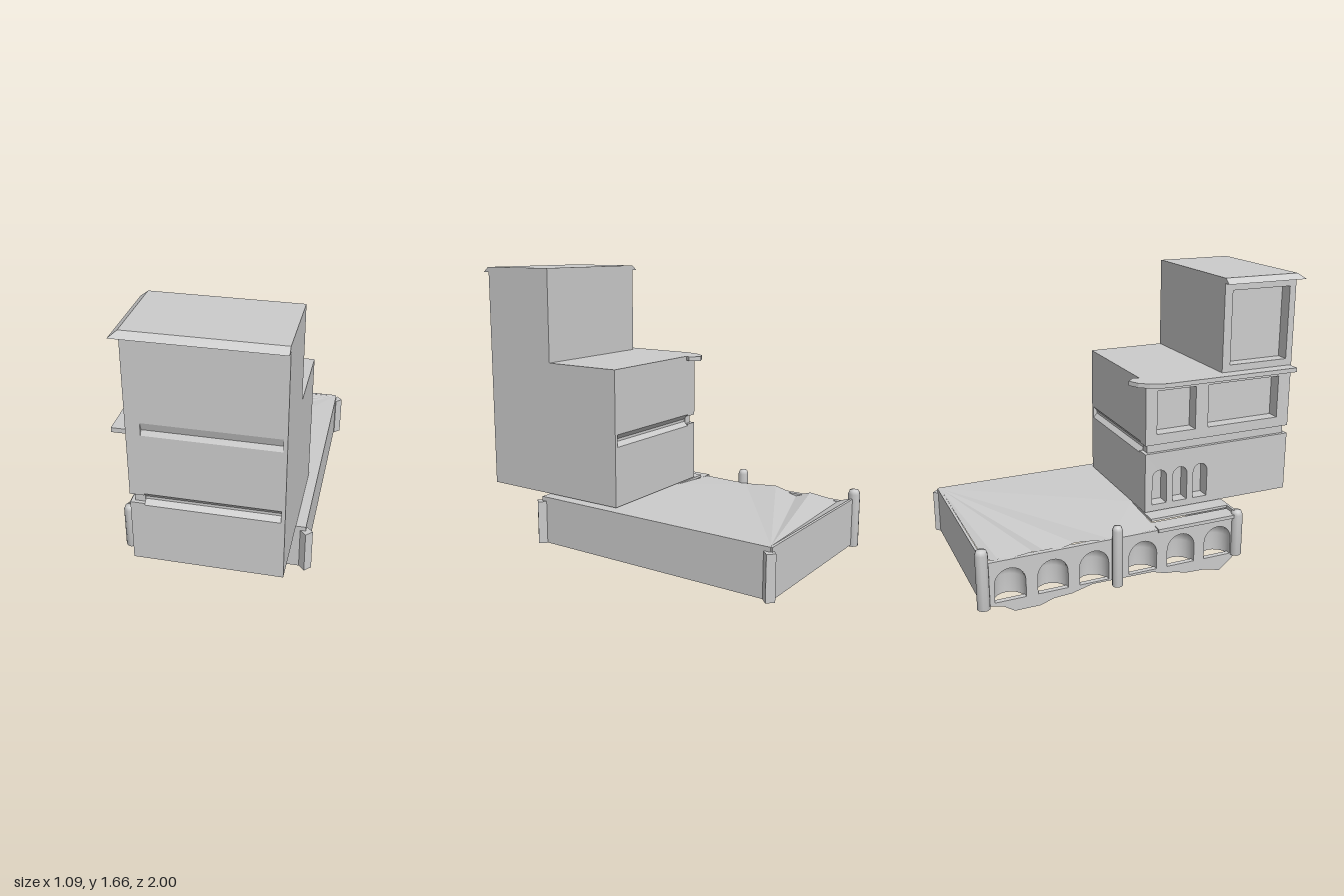
import * as THREE from 'three';

const mat = new THREE.MeshStandardMaterial({ color: 0xcccccc, side: THREE.DoubleSide });

export function createModel() {
  const model = new THREE.Group();
  const add = (name, geo, x = 0, y = 0, z = 0) => {
    const m = new THREE.Mesh(geo, mat);
    m.name = name;
    m.position.set(x, y, z);
    model.add(m);
    return m;
  };
  // box given by its minimum and maximum on each axis
  const box = (name, x0, x1, y0, y1, z0, z1) =>
    add(name, new THREE.BoxGeometry(x1 - x0, y1 - y0, z1 - z0), (x0 + x1) / 2, (y0 + y1) / 2, (z0 + z1) / 2);
  const poly = pts => new THREE.Shape(pts.map(p => new THREE.Vector2(...p)));
  // side outline in (z, y), extruded across x
  const across = (name, shape, x0, x1) => {
    const g = new THREE.ExtrudeGeometry(shape, { depth: x1 - x0, bevelEnabled: false, curveSegments: 8 });
    return add(name, g.rotateY(-Math.PI / 2), x1);
  };
  const rectHole = (z0, z1, y0, y1) => new THREE.Path(
    [[z0, y0], [z0, y1], [z1, y1], [z1, y0]].map(p => new THREE.Vector2(...p)));
  const archHole = (z, r, y0, y1) => {
    const p = new THREE.Path();
    p.moveTo(z - r, y0);
    p.lineTo(z + r, y0);
    p.lineTo(z + r, y1);
    p.absarc(z, y1, r, 0, Math.PI, false);
    p.lineTo(z - r, y0);
    return p;
  };

  // stepped building core, grooved front and back
  across('buildingCore', poly([
    [0.03, 0.37], [0.96, 0.37], [0.96, 0.71], [0.935, 0.735], [0.935, 0.75], [0.96, 0.78],
    [0.96, 1.12], [0.945, 1.145], [0.96, 1.19], [0.96, 1.65], [0.5, 1.65], [0.5, 1.14],
    [0.03, 1.14], [0.03, 0.78], [0.055, 0.75], [0.055, 0.735], [0.03, 0.71]]), -0.26, 0.43);

  // plain wall on the left
  across('plainSideWall', poly([[0.03, 0.37], [0.96, 0.37], [0.96, 1.65], [0.5, 1.65], [0.5, 1.14], [0.03, 1.14]]), 0.43, 0.45);

  // windowed facade on the right, split by the groove
  const upper = poly([[0.03, 0.77], [0.96, 0.77], [0.96, 1.65], [0.5, 1.65], [0.5, 1.14], [0.03, 1.14]]);
  upper.holes.push(rectHole(0.1, 0.34, 0.83, 1.08), rectHole(0.42, 0.88, 0.83, 1.08), rectHole(0.55, 0.92, 1.18, 1.6));
  across('windowFacade', upper, -0.335, -0.26);
  const lower = poly([[0.03, 0.37], [0.96, 0.37], [0.96, 0.72], [0.03, 0.72]]);
  for (const z of [0.12, 0.25, 0.38]) lower.holes.push(archHole(z, 0.045, 0.41, 0.57));
  across('lowerFacade', lower, -0.335, -0.26);
  box('facadeGroove', -0.315, -0.26, 0.72, 0.77, 0.05, 0.94);

  // upper roof slab with sloped edges on the overhanging sides
  const roof = box('upperRoof', -0.375, 0.45, 1.64, 1.67, 0.5, 1.0);
  const rp = roof.geometry.attributes.position;
  for (let i = 0; i < rp.count; i++) {
    if (rp.getY(i) < 0) continue;
    if (rp.getX(i) < 0) rp.setX(i, rp.getX(i) + 0.04);
    if (rp.getZ(i) > 0) rp.setZ(i, rp.getZ(i) - 0.035);
  }
  roof.geometry.computeVertexNormals();

  // lower eave, hooking around the back corner
  const eave = new THREE.ExtrudeGeometry(poly([
    [-0.33, 0.95], [-0.41, 0.95], [-0.41, 0.12], [-0.38, 0.03], [-0.34, -0.02],
    [-0.28, -0.05], [-0.23, 0.0], [-0.25, 0.035], [-0.33, 0.035]]), { depth: 0.025, bevelEnabled: false });
  add('lowerEave', eave.rotateX(Math.PI / 2), 0, 1.14);

  // platform walls, open underneath
  box('platformLeftWall', 0.49, 0.505, 0.09, 0.365, -0.96, 0.53);
  box('platformBackWall', -0.5, 0.5, 0.09, 0.365, -0.97, -0.955);
  box('platformFrontWall', -0.5, 0.5, 0.09, 0.365, 0.515, 0.53);

  // deck fanning out from the far corner to a rippled edge
  const edge = [[-0.5, 0.36, -0.95], [-0.5, 0.33, -0.87], [-0.5, 0.35, -0.69], [-0.5, 0.32, -0.6],
    [-0.5, 0.355, -0.46], [-0.5, 0.335, -0.25], [-0.15, 0.365, 0.03], [0.49, 0.365, 0.03]];
  const fan = [];
  for (let i = 0; i < edge.length - 1; i++) fan.push(0.49, 0.365, -0.955, ...edge[i], ...edge[i + 1]);
  fan.push(-0.15, 0.365, 0.03, -0.5, 0.335, -0.25, -0.5, 0.34, 0.03);
  const deck = new THREE.BufferGeometry();
  deck.setAttribute('position', new THREE.Float32BufferAttribute(fan, 3));
  deck.computeVertexNormals();
  add('foldedDeck', deck);
  box('frontDeck', -0.42, 0.49, 0.35, 0.365, 0.03, 0.52);
  box('sideLedge', -0.52, -0.42, 0.325, 0.345, 0.03, 0.53);

  // arcade wall with a ragged foot, each arch backed by a rounded niche
  const arcade = poly([[-0.95, 0.09], [-0.86, 0.07], [-0.8, 0.03], [-0.66, 0.03], [-0.58, 0.055], [-0.48, 0.06],
    [-0.36, 0.09], [0, 0.085], [0.08, 0.06], [0.14, 0.055], [0.21, 0.035], [0.33, 0.03], [0.43, 0.005],
    [0.5, 0.06], [0.53, 0.09], [0.53, 0.335], [-0.95, 0.335]]);
  const niche = new THREE.LatheGeometry([[0.085, 0], [0.085, 0.11], [0.074, 0.153], [0.043, 0.184], [0, 0.195]]
    .map(p => new THREE.Vector2(...p)), 10, 0, Math.PI);
  for (const z of [-0.82, -0.585, -0.35, -0.06, 0.175, 0.41]) {
    arcade.holes.push(archHole(z, 0.085, 0.1, 0.2));
    add('archNiche', niche, -0.485, 0.09, z);
  }
  across('arcadeWall', arcade, -0.505, -0.475);

  // round posts along the arcade
  for (const [x, z, y0, y1] of [[-0.5, -0.965, 0.08, 0.42], [-0.52, -0.22, 0.06, 0.42], [-0.5, 0.535, 0.09, 0.37]]) {
    const r = x < -0.51 ? 0.03 : 0.035;
    const pts = [[0, y0], [r, y0], [r, y1 - 0.03], [r * 0.75, y1 - 0.008], [0, y1]];
    add('roundPost', new THREE.LatheGeometry(pts.map(p => new THREE.Vector2(...p)), 10), x, 0, z);
  }

  // square corner posts turned on edge
  for (const z of [-0.96, 0.53]) {
    const post = box('squarePost', 0.484, 0.534, 0.09, 0.34, z - 0.025, z + 0.025);
    post.rotation.y = Math.PI / 4;
  }
  return model;
}
